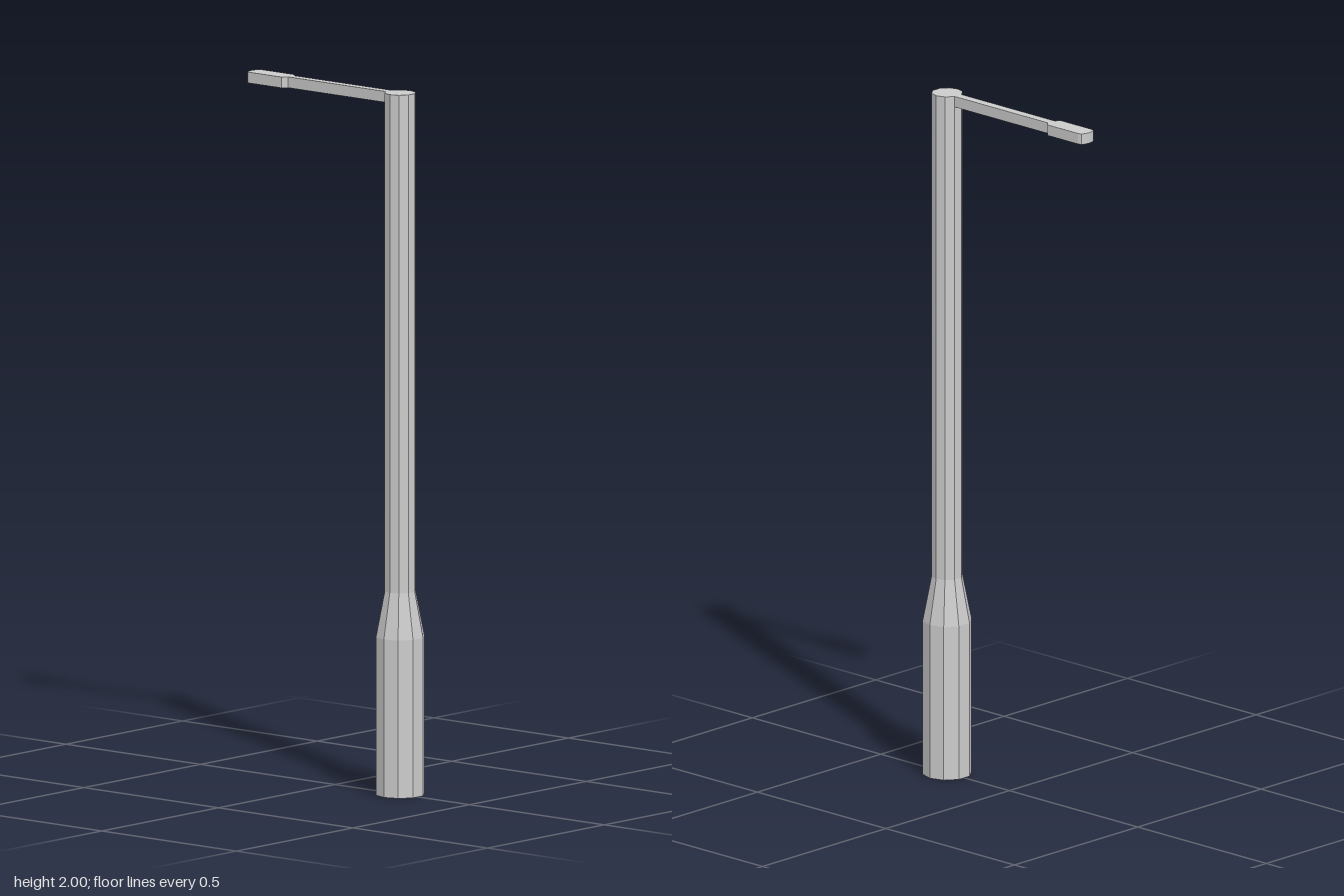
import * as THREE from 'three';

export function createModel() {
  const group = new THREE.Group();
  const grey = new THREE.MeshStandardMaterial({ color: 0xcccccc, flatShading: true });
  const yellow = new THREE.MeshStandardMaterial({ color: 0xe8cc40, flatShading: true });

  const add = (name, geometry, material, x, y, z = 0) => {
    const mesh = new THREE.Mesh(geometry, material);
    mesh.name = name;
    mesh.position.set(x, y, z);
    group.add(mesh);
  };

  // Ten-sided post: thick base, tapered collar, slim shaft, closed at both ends
  const profile = [[0, 0], [0.07, 0], [0.07, 0.45], [0.0445, 0.58], [0.0445, 2], [0, 2]]
    .map(([r, y]) => new THREE.Vector2(r, y));
  add('post', new THREE.LatheGeometry(profile, 10), grey, 0.242, 0);

  // Horizontal arm reaching from the shaft to the lamp head
  const top = 2, thick = 0.031, armStart = -0.163, armEnd = 0.2;
  add('arm', new THREE.BoxGeometry(armEnd - armStart, thick, 0.027), grey,
    (armStart + armEnd) / 2, top - thick / 2);

  // Lamp head outline: rounded tip, shoulders narrowing into the arm
  const half = [[-0.163, 0.0135], [-0.175, 0.0278], [-0.295, 0.0278], [-0.304, 0.0245],
    [-0.309, 0.016], [-0.311, 0.006]];
  const outline = [...half, ...half.map(([x, z]) => [x, -z]).reverse()];
  const shape = new THREE.Shape(outline.map(([x, z]) => new THREE.Vector2(x, z)));
  const head = new THREE.ExtrudeGeometry(shape, { depth: thick, bevelEnabled: false });
  add('lampHead', head.rotateX(Math.PI / 2), grey, 0, top);

  // Light panel covering the underside of the head
  add('lightPanel', new THREE.ShapeGeometry(shape).rotateX(Math.PI / 2), yellow,
    0, top - thick - 0.001);

  return group;
}
